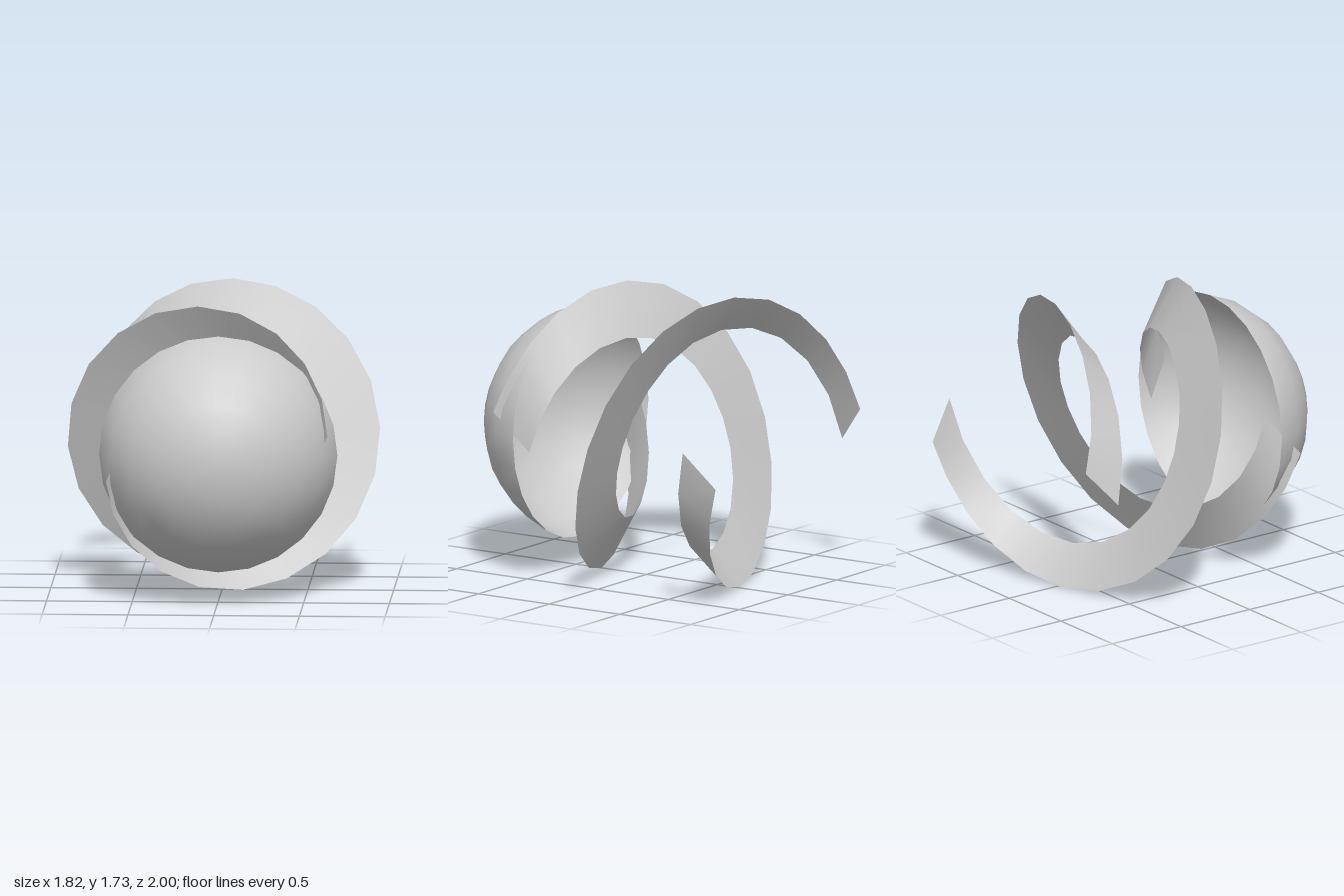
import * as THREE from 'three';

const material = new THREE.MeshStandardMaterial({ color: 0xcccccc, side: THREE.DoubleSide });
const STEPS = 20;

// Edge of a ribbon; each key is [angle in degrees, radius, z] around the z axis
const edge = (keys) => new THREE.CatmullRomCurve3(
  keys.map((k) => new THREE.Vector3(...k)), false, 'catmullrom', 0.5
).getPoints(STEPS);

// Twisting ribbon spanned between an outer and an inner helical edge
function ribbonGeometry() {
  const outer = edge([[-168, 0.66, 0.64], [-81, 0.845, 0.23], [4, 0.913, -0.21], [88, 0.867, -0.64], [171.6, 0.75, -1]]);
  const inner = edge([[-190, 0.56, 0.45], [-94, 0.535, 0.12], [0, 0.515, -0.185], [94, 0.645, -0.5], [187, 0.825, -0.82]]);
  const positions = [], index = [];
  for (let i = 0; i <= STEPS; i++) {
    for (const p of [outer[i], inner[i]]) {
      const a = THREE.MathUtils.degToRad(p.x);
      positions.push(p.y * Math.cos(a), p.y * Math.sin(a), p.z);
    }
    if (i < STEPS) {
      const a = i * 2;
      index.push(a, a + 1, a + 2, a + 1, a + 3, a + 2);
    }
  }
  const geometry = new THREE.BufferGeometry();
  geometry.setAttribute('position', new THREE.Float32BufferAttribute(positions, 3));
  geometry.setIndex(index);
  geometry.computeVertexNormals();
  return geometry;
}

export function createModel() {
  const group = new THREE.Group();
  group.name = 'domeWithSpiralRibbons';

  // Open spherical cap bulging to the front
  const capGeometry = new THREE.SphereGeometry(0.72, 24, 5, 0, Math.PI * 2, 0, THREE.MathUtils.degToRad(75));
  capGeometry.rotateX(Math.PI / 2);
  const dome = new THREE.Mesh(capGeometry, material);
  dome.name = 'dome';
  dome.position.set(0, 0.867, 0.28);
  group.add(dome);

  // Two ribbons half a turn apart
  const geometry = ribbonGeometry();
  ['firstRibbon', 'secondRibbon'].forEach((name, i) => {
    const ribbon = new THREE.Mesh(geometry, material);
    ribbon.name = name;
    ribbon.position.y = 0.867;
    ribbon.rotation.z = i * Math.PI;
    group.add(ribbon);
  });
  return group;
}
